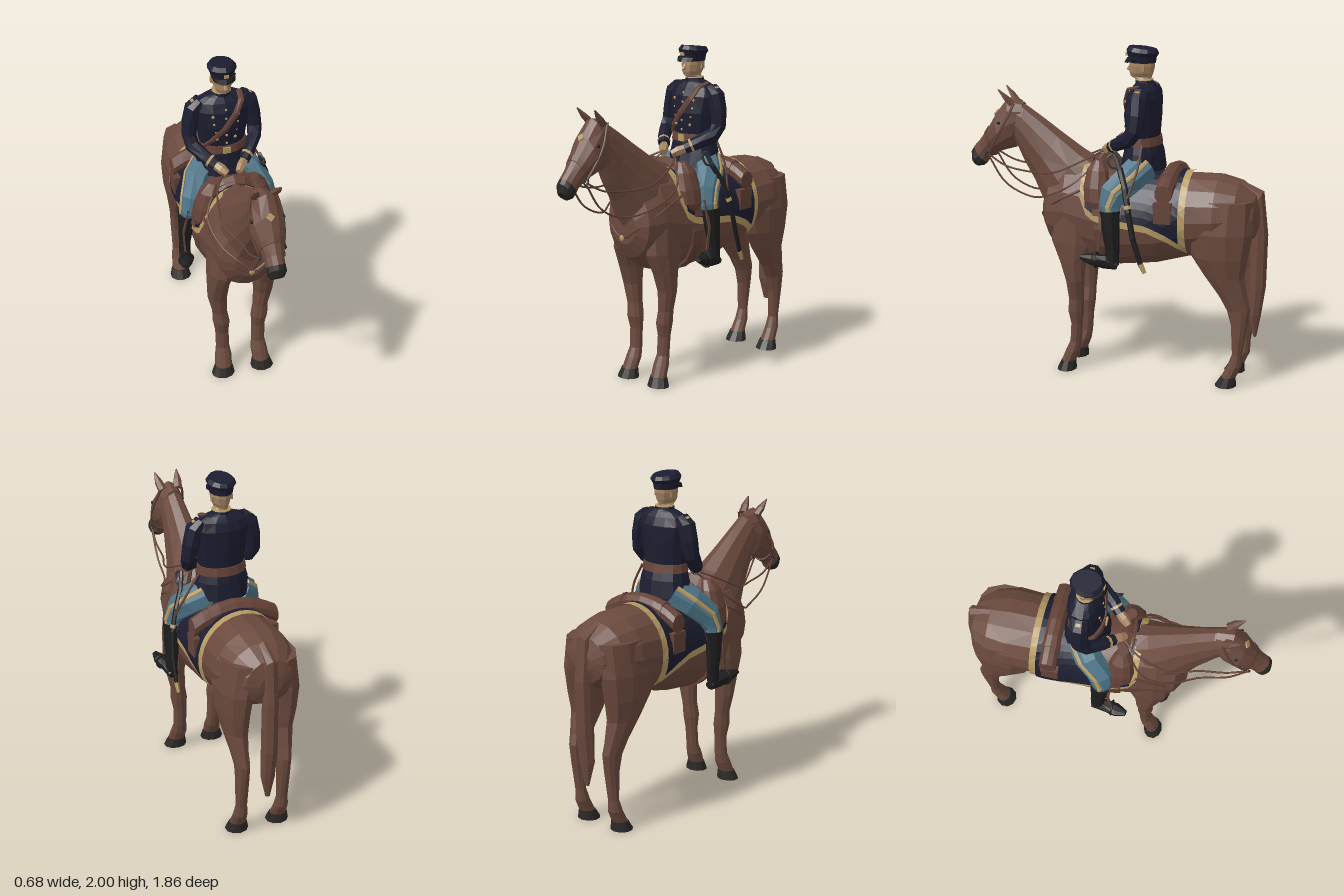
import * as THREE from 'three';

const mat = (name, color) => Object.assign(new THREE.MeshStandardMaterial({ color }), { name });
const C = {
  coat: mat('horse brown', 0x6b4a3e), leather: mat('saddle leather', 0x654338), navy: mat('navy cloth', 0x1c1d30),
  blue: mat('trouser blue', 0x4e7588), gold: mat('gold trim', 0xb69a64), skin: mat('skin', 0xa88663),
  black: mat('black leather', 0x1d1d1e), hoof: mat('hoof charcoal', 0x2a2826), steel: mat('dark steel', 0x34343a),
};
const V = (x, y, z) => new THREE.Vector3(x, y, z);

// Faceted skin over a list of point rings; triangles are turned so the surface faces outward
function skin(rings, closed = true) {
  const tris = [], n = rings[0].length, cols = closed ? n : n - 1;
  for (let i = 0; i + 1 < rings.length; i++) for (let j = 0; j < cols; j++) {
    const k = (j + 1) % n, [a, b, c, d] = [rings[i][j], rings[i + 1][j], rings[i + 1][k], rings[i][k]];
    if ((i + j) % 2) tris.push([a, b, c], [a, c, d]);
    else tris.push([a, b, d], [b, c, d]);
  }
  if (closed) [rings[0], rings[rings.length - 1]].forEach((r, e) => {
    const m = r.reduce((s, p) => s.add(p), V(0, 0, 0)).divideScalar(n);
    r.forEach((p, j) => tris.push(e ? [m, r[(j + 1) % n], p] : [m, p, r[(j + 1) % n]]));
  });
  let vol = 0;
  for (const [a, b, c] of tris) vol += a.dot(b.clone().cross(c));
  const pts = tris.flatMap(([a, b, c]) => vol < 0 ? [a, c, b] : [a, b, c]);
  const g = new THREE.BufferGeometry().setFromPoints(pts);
  g.computeVertexNormals();
  return g;
}

// Sections [x, y1, z1, y2, z2, halfWidth]: oval rings between a front/top and a back/bottom point
const loft = (secs, n = 12, s = 1) => skin(secs.map(([x, y1, z1, y2, z2, w]) =>
  Array.from({ length: n }, (_, i) => {
    const t = i / n * Math.PI * 2, c = Math.cos(t) / 2;
    return V(s * x + w * Math.sin(t), (y1 + y2) / 2 + c * (y1 - y2), (z1 + z2) / 2 + c * (z1 - z2));
  })));

// Points [x, y, z, sideRadius, frontRadius]: rings square to the path
function limb(pts, s = 1, n = 8) {
  const P = pts.map(([x, y, z]) => V(s * x, y, z));
  return skin(P.map((p, i) => {
    const t = P[Math.min(i + 1, P.length - 1)].clone().sub(P[Math.max(i - 1, 0)]).normalize();
    const b1 = V(1, 0, 0).addScaledVector(t, -t.x).normalize(), b2 = t.clone().cross(b1);
    return Array.from({ length: n }, (_, j) => {
      const a = (j + 0.5) / n * Math.PI * 2;
      return p.clone().addScaledVector(b1, pts[i][3] * Math.cos(a)).addScaledVector(b2, pts[i][4] * Math.sin(a));
    });
  }));
}
const tube = (pts, r, s = 1) => new THREE.TubeGeometry(
  new THREE.CatmullRomCurve3(pts.map(([x, y, z]) => V(s * x, y, z))), 24, r, 5);
const flat = g => { const f = g.toNonIndexed(); f.computeVertexNormals(); return f; };
const box = (w, h, d, x, y, z) => new THREE.BoxGeometry(w, h, d).translate(x, y, z);
const ball = (r, sx, sy, sz, x, y, z, n = 8) => flat(new THREE.SphereGeometry(r, n, 6).scale(sx, sy, sz)).translate(x, y, z);

// Linear look-up in a table of rows sorted by falling first column
function at(table, z, col) {
  let i = 0;
  while (i < table.length - 2 && z < table[i + 1][0]) i++;
  const [a, b] = [table[i], table[i + 1]];
  return THREE.MathUtils.lerp(a[col], b[col], THREE.MathUtils.clamp((z - a[0]) / (b[0] - a[0]), 0, 1));
}
// Barrel sections: z, top, bottom, half width
const BARREL = [[.435, 1.1, .88, .1], [.39, 1.22, .79, .17], [.28, 1.32, .71, .2], [.14, 1.31, .665, .215], [-.05, 1.24, .67, .235],
  [-.28, 1.25, .70, .24], [-.48, 1.265, .76, .238], [-.64, 1.265, .79, .246], [-.76, 1.235, .84, .215], [-.86, 1.17, .9, .145], [-.885, 1.08, .97, .07]];

// Cloth or leather draped over the barrel between z0 and z1, down to hem(z)
function drape(off, z0, z1, hem) {
  const rings = [];
  for (let i = 0; i <= 14; i++) {
    const z = z0 + (z1 - z0) * i / 14, top = at(BARREL, z, 1) + off, bot = at(BARREL, z, 2) - off;
    const c = (top + bot) / 2, h = (top - bot) / 2, w = at(BARREL, z, 3) + off, tm = Math.acos((hem(z) - c) / h);
    rings.push(Array.from({ length: 21 }, (_, j) => {
      const t = tm * (j / 10 - 1);
      return V(w * Math.sin(t), c + h * Math.cos(t), z);
    }));
  }
  return skin(rings, false);
}

export function createModel() {
  const root = new THREE.Group();
  root.name = 'horseAndRider';
  let group;
  const part = name => { group = new THREE.Group(); group.name = name; root.add(group); };
  const add = (name, geo, m) => { const k = new THREE.Mesh(geo, m); k.name = name; group.add(k); };
  const both = f => [1, -1].forEach(s => f(s, s > 0 ? 'left' : 'right'));

  part('horse');
  add('barrel', loft(BARREL.map(([z, t, b, w]) => [0, t, z, b, z, w]), 16), C.coat);
  add('neck', loft([[0, 1.32, .1, .84, .36, .165], [0, 1.36, .19, 1.02, .45, .15], [0, 1.46, .34, 1.15, .51, .113],
    [0, 1.55, .47, 1.25, .57, .09], [0, 1.615, .57, 1.34, .61, .078], [0, 1.645, .65, 1.42, .66, .07]]), C.coat);
  add('head', loft([[0, 1.63, .58, 1.42, .6, .065], [0, 1.655, .68, 1.35, .63, .09], [0, 1.56, .755, 1.33, .7, .1],
    [0, 1.46, .815, 1.31, .755, .075], [0, 1.38, .872, 1.27, .805, .058], [0, 1.34, .908, 1.24, .825, .056]]), C.coat);
  add('muzzle', loft([[0, 1.342, .906, 1.242, .823, .057], [0, 1.315, .923, 1.22, .85, .058], [0, 1.265, .925, 1.215, .88, .038]], 12), C.hoof);
  add('foreheadStar', box(.035, .035, .008, 0, 0, 0).rotateZ(.78).rotateX(-.55).translate(0, 1.555, .76), C.gold);
  add('tail', loft([[0, 1.24, -.76, 1.15, -.8, .035], [0, 1.18, -.9, 1.06, -.82, .045], [0, .92, -.93, .92, -.82, .048],
    [0, .6, -.925, .6, -.82, .05], [0, .42, -.9, .42, -.82, .045], [0, .28, -.875, .28, -.855, .015]], 8), C.coat);
  both((s, side) => {
    add(side + 'Ear', limb([[.05, 1.62, .64, .03, .022], [.062, 1.66, .675, .026, .018], [.072, 1.71, .72, .004, .004]], s, 6), C.coat);
    add(side + 'Eye', ball(.011, .6, 1, 1, s * .093, 1.51, .715), C.black);
    add(side + 'FrontLeg', loft([[.115, 1.02, .36, 1.02, .1, .085], [.13, .82, .37, .82, .1, .082], [.143, .7, .315, .7, .15, .068],
      [.145, .58, .275, .58, .16, .06], [.13, .46, .263, .46, .168, .046], [.122, .38, .27, .38, .17, .052], [.117, .3, .253, .3, .18, .042],
      [.115, .18, .26, .18, .188, .042], [.116, .12, .287, .12, .198, .052], [.122, .05, .315, .055, .225, .053]], 10, s), C.coat);
    add(side + 'FrontHoof', loft([[.122, .055, .315, .06, .225, .057], [.127, 0, .34, 0, .22, .073]], 10, s), C.hoof);
    add(side + 'HindLeg', loft([[.11, 1.14, -.5, 1.14, -.86, .11], [.14, .95, -.46, .95, -.865, .105], [.145, .8, -.5, .8, -.84, .09],
      [.14, .68, -.58, .68, -.82, .07], [.135, .56, -.67, .55, -.845, .05], [.13, .47, -.72, .49, -.86, .043], [.13, .38, -.745, .38, -.845, .04],
      [.13, .2, -.755, .2, -.815, .035], [.13, .13, -.73, .13, -.815, .044], [.13, .05, -.69, .055, -.78, .05]], 10, s), C.coat);
    add(side + 'HindHoof', loft([[.13, .055, -.69, .06, -.78, .055], [.13, 0, -.655, 0, -.785, .07]], 10, s), C.hoof);
  });

  part('tack');
  const HEM = [[.17, 1.12], [.13, 1.02], [.07, .98], [0, .965], [-.25, .94], [-.37, .89], [-.485, .81]];
  const hem = z => at(HEM, z, 1);
  add('blanketBorder', drape(.012, .17, -.48, hem), C.gold);
  add('blanket', drape(.018, .13, -.44, z => hem(z) + .042), C.navy);
  add('saddleFlaps', drape(.024, .08, -.1, () => 1.02), C.leather);
  add('seat', drape(.04, .11, -.2, () => 1.22), C.leather);
  add('girth', loft([[0, 1.2, .07, .658, .07, .224], [0, 1.2, 0, .658, 0, .235]], 16), C.leather);
  add('pommel', loft([[0, 1.33, .12, 1.2, .12, .1], [0, 1.355, .07, 1.2, .07, .12], [0, 1.3, .02, 1.2, .02, .13]], 10), C.leather);
  // Blanket roll bent over the horse's back, in rings along x
  const roll = (xs, r) => skin(xs.map(x => Array.from({ length: 10 }, (_, i) => {
    const a = i / 10 * Math.PI * 2;
    return V(x, 1.262 - 1.2 * x * x + r * 1.05 * Math.cos(a), -.357 + r * Math.sin(a));
  })));
  add('cantleRoll', roll([-.262, -.2, -.1, 0, .1, .2, .262], .053), C.leather);
  add('noseband', loft([[0, 1.468, .817, 1.302, .75, .08], [0, 1.44, .835, 1.288, .768, .075]]), C.leather);
  add('breastStrap', tube([[-.21, 1.16, .16], [-.19, 1.08, .31], [-.1, .98, .432], [0, .92, .443], [.1, .98, .432], [.19, 1.08, .31], [.21, 1.16, .16]], .008), C.leather);
  add('breastBadge', ball(.018, 1, 1, .4, 0, .92, .45), C.gold);
  both((s, side) => {
    add(side + 'PommelBag', loft([[.12, 1.335, .1, 1.335, .04, .035], [.15, 1.28, .135, 1.28, .005, .055], [.18, 1.18, .15, 1.18, -.015, .06],
      [.195, 1.1, .145, 1.1, -.02, .055], [.2, 1.055, .11, 1.055, 0, .04]], 10, s), C.leather);
    add(side + 'Pouch', box(.045, .12, .1, s * .24, 1.065, -.35), C.leather);
    add(side + 'PouchFlap', box(.05, .045, .106, s * .24, 1.105, -.35), C.leather);
    add(side + 'RollStrap', roll([s * .14, s * .165], .057), C.leather);
    add(side + 'Cheekpiece', tube([[.07, 1.63, .62], [.096, 1.5, .68], [.09, 1.4, .74], [.068, 1.32, .785]], .008, s), C.leather);
    add(side + 'BitRing', new THREE.TorusGeometry(.018, .005, 5, 10).rotateY(Math.PI / 2).translate(s * .07, 1.315, .79), C.steel);
    add(side + 'UpperRein', tube([[.07, 1.31, .79], [.085, 1.25, .68], [.1, 1.225, .52], [.15, 1.24, .35], [.12, 1.33, .15], [.05, 1.38, .05]], .006, s), C.leather);
    add(side + 'LowerRein', tube([[.07, 1.3, .79], [.075, 1.14, .68], [.09, 1.07, .52], [.165, 1.1, .38], [.195, 1.2, .2], [.05, 1.37, .05]], .006, s), C.leather);
    add(side + 'StirrupLeather', limb([[.262, 1.12, .02, .008, .014], [.295, .95, .015, .006, .012], [.29, .82, .03, .006, .012]], s, 4), C.leather);
    add(side + 'Stirrup', new THREE.TorusGeometry(.044, .007, 5, 12).translate(s * .288, .765, .04), C.black);
  });

  part('rider');
  // Level sections: height, front z, back z, half width
  const stack = (rows, n = 12) => loft(rows.map(([y, f, b, w]) => [0, y, f, y, b, w]), n);
  add('jacket', stack([[1.28, -.03, -.305, .175], [1.38, -.055, -.29, .158], [1.46, -.068, -.265, .137], [1.6, -.055, -.275, .155],
    [1.7, -.07, -.275, .172], [1.75, -.095, -.255, .158], [1.778, -.115, -.235, .1], [1.79, -.125, -.225, .06]], 14), C.navy);
  add('belt', stack([[1.425, -.055, -.282, .151], [1.475, -.06, -.273, .145]], 14), C.leather);
  add('beltBuckle', box(.045, .04, .009, 0, 1.45, -.054), C.gold);
  add('shoulderStrap', limb([[.105, 1.778, -.17, .02, .008], [.1, 1.76, -.1, .02, .008], [.06, 1.69, -.07, .02, .008],
    [-.01, 1.6, -.055, .02, .008], [-.08, 1.52, -.078, .02, .01], [-.125, 1.46, -.12, .02, .01]], 1, 6), C.leather);
  add('collar', stack([[1.77, -.115, -.23, .063], [1.805, -.118, -.225, .056]]), C.navy);
  add('collarTrim', stack([[1.803, -.115, -.227, .058], [1.81, -.117, -.225, .056]]), C.gold);
  add('head', stack([[1.77, -.13, -.21, .043], [1.81, -.115, -.212, .043], [1.82, -.088, -.215, .036], [1.845, -.08, -.225, .052],
    [1.885, -.08, -.235, .06], [1.93, -.085, -.235, .06]], 10), C.skin);
  add('nose', limb([[0, 1.885, -.086, .008, .008], [0, 1.862, -.072, .013, .012], [0, 1.855, -.09, .008, .008]], 1, 5), C.skin);
  add('capBand', stack([[1.905, -.077, -.24, .065], [1.945, -.07, -.245, .073]]), C.navy);
  add('capCrown', loft([[0, 1.945, -.07, 1.94, -.245, .073], [0, 1.977, -.062, 1.96, -.258, .086], [0, 2, -.078, 1.982, -.248, .068]], 12), C.navy);
  add('capVisor', loft([[0, 1.93, -.066, 1.93, -.17, .072], [0, 1.903, -.05, 1.915, -.17, .066]]), C.black);
  add('capBadge', box(.028, .02, .008, 0, 1.95, -.064), C.gold);
  for (let i = 0; i < 5; i++) add('button', ball(.008, 1, 1, .6, 0, 1.5 + i * .055, -.058 - Math.max(0, i - 2) * .007, 6), C.gold);
  both((s, side) => {
    for (let i = 0; i < 4; i++) add('sideButton', ball(.01, 1, 1, .7, s * (.055 + i * .007), 1.53 + i * .05, -.069 - i * .003, 6), C.gold);
    add(side + 'Ear', box(.012, .032, .022, s * .058, 1.875, -.175), C.skin);
    add(side + 'Epaulette', limb([[.09, 1.778, -.175, .006, .02], [.155, 1.758, -.175, .006, .02], [.182, 1.748, -.175, .006, .02]], s, 4), C.navy);
    add(side + 'EpauletteTip', limb([[.165, 1.757, -.175, .007, .02], [.182, 1.749, -.175, .007, .02]], s, 4), C.gold);
    add(side + 'Sleeve', limb([[.13, 1.755, -.175, .03, .05], [.168, 1.71, -.175, .05, .06], [.19, 1.62, -.175, .047, .058], [.2, 1.53, -.165, .043, .052],
      [.19, 1.475, -.125, .042, .047], [.135, 1.435, -.045, .037, .04], [.085, 1.405, .005, .035, .036]], s), C.navy);
    add(side + 'CuffStripe', limb([[.118, 1.425, -.027, .038, .041], [.108, 1.419, -.017, .038, .04]], s), C.gold);
    add(side + 'Hand', limb([[.09, 1.405, 0, .026, .026], [.06, 1.388, .035, .03, .032], [.035, 1.37, .065, .022, .024]], s, 6), C.skin);
    add(side + 'Trouser', limb([[.08, 1.3, -.19, .09, .1], [.165, 1.24, -.13, .082, .095], [.225, 1.15, -.045, .066, .085],
      [.248, 1.08, -.03, .052, .067], [.258, 1.02, -.04, .043, .055]], s), C.blue);
    add(side + 'TrouserStripe', limb([[.145, 1.345, -.23, .008, .015], [.228, 1.27, -.163, .008, .015], [.28, 1.175, -.062, .008, .015],
      [.297, 1.09, -.033, .008, .015], [.297, 1.04, -.04, .008, .015]], s, 6), C.gold);
    add(side + 'Boot', limb([[.258, 1.06, -.035, .052, .064], [.265, .95, -.042, .044, .054], [.27, .83, -.055, .035, .042], [.272, .74, -.05, .034, .045]], s), C.black);
    add(side + 'Foot', limb([[.27, .735, -.085, .032, .025], [.278, .755, -.01, .038, .042], [.298, .77, .07, .042, .032], [.31, .782, .13, .018, .013]], s), C.black);
  });

  part('sabre');
  add('scabbard', limb([[.22, 1.31, -.085, .012, .02], [.27, 1.2, -.13, .012, .02], [.305, 1.07, -.16, .012, .019], [.315, .92, -.19, .012, .018], [.313, .76, -.24, .011, .016]], 1, 6), C.black);
  add('scabbardTip', limb([[.313, .77, -.237, .013, .018], [.31, .715, -.262, .01, .013]], 1, 6), C.gold);
  add('scabbardBand', limb([[.295, 1.11, -.15, .015, .023], [.3, 1.09, -.155, .015, .023]], 1, 6), C.gold);
  add('grip', limb([[.225, 1.3, -.088, .013, .015], [.208, 1.36, -.065, .013, .016], [.2, 1.39, -.045, .012, .014]], 1, 6), C.steel);
  add('handGuard', tube([[.22, 1.31, -.085], [.225, 1.32, -.03], [.215, 1.37, -.01], [.2, 1.39, -.035]], .007), C.steel);
  add('sabreSling', tube([[.15, 1.44, -.2], [.23, 1.3, -.19], [.29, 1.15, -.15]], .007), C.leather);
  return root;
}
